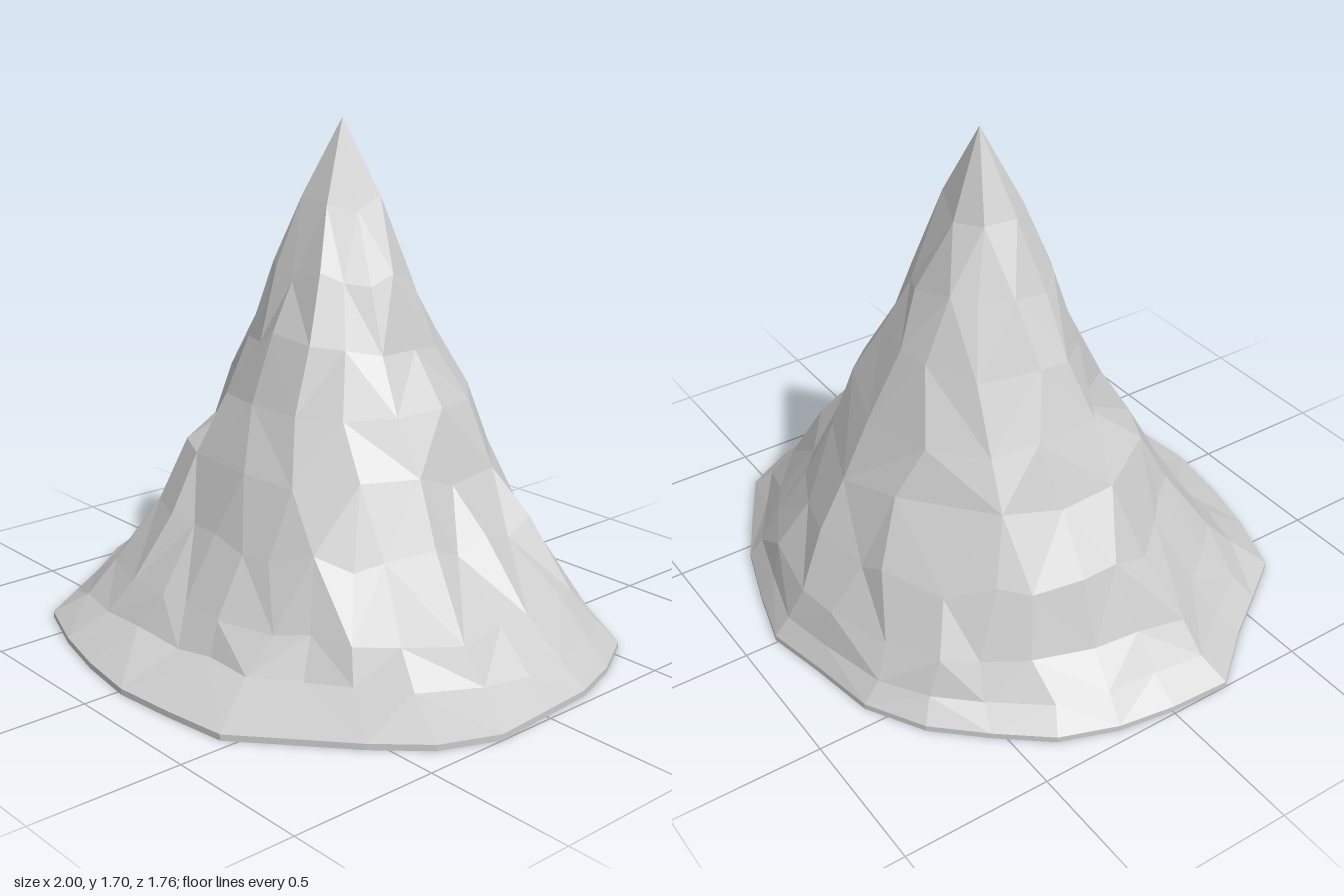
import * as THREE from 'three';

// Base outline (x, z), from the back round by +x, the front and -x
const OUTLINE = [
  [0.01, -0.885], [0.22, -0.83], [0.44, -0.76], [0.62, -0.66], [0.81, -0.55], [0.91, -0.37], [0.97, -0.19],
  [0.985, 0], [1, 0.21], [0.92, 0.4], [0.78, 0.55], [0.62, 0.69], [0.46, 0.83], [0.24, 0.86],
  [0.02, 0.88], [-0.2, 0.85], [-0.41, 0.8], [-0.63, 0.72], [-0.74, 0.56], [-0.84, 0.41], [-1, 0.21],
  [-0.99, 0], [-0.96, -0.19], [-0.89, -0.38], [-0.76, -0.54], [-0.62, -0.69], [-0.43, -0.8], [-0.2, -0.84],
];
const COUNT = OUTLINE.length;
const PEAK = new THREE.Vector3(-0.07, 1.7, -0.11);

// Outline positions at which the slope profile is given
const STATIONS = [0, 7, 11, 14, 17.5, 21, 28];
// Each level: height, number of points, spread (1 = outline, 0 = peak axis) at each station
const LEVELS = [
  [0.09, 28, [0.955, 0.91, 0.77, 0.77, 0.91, 0.9, 0.955]],
  [0.2, 28, [0.89, 0.795, 0.71, 0.71, 0.81, 0.817, 0.89]],
  [0.4, 28, [0.77, 0.6, 0.6, 0.585, 0.65, 0.69, 0.77]],
  [0.6, 14, [0.645, 0.5, 0.51, 0.49, 0.55, 0.57, 0.645]],
  [0.8, 14, [0.53, 0.405, 0.41, 0.4, 0.42, 0.465, 0.53]],
  [1.0, 14, [0.41, 0.295, 0.31, 0.31, 0.33, 0.36, 0.41]],
  [1.2, 14, [0.285, 0.225, 0.225, 0.225, 0.24, 0.255, 0.285]],
  [1.43, 7, [0.15, 0.128, 0.125, 0.125, 0.135, 0.147, 0.15]],
];

let seed = 11;
function jitter(amount) {
  seed = (seed * 16807) % 2147483647;
  return (seed / 2147483647 * 2 - 1) * amount;
}

function spreadAt(values, t) {
  let k = 0;
  while (k < STATIONS.length - 2 && t > STATIONS[k + 1]) k++;
  return THREE.MathUtils.mapLinear(t, STATIONS[k], STATIONS[k + 1], values[k], values[k + 1]);
}

function slopePoint(t, spread, y) {
  t = (t + COUNT) % COUNT;
  const i = Math.floor(t), a = OUTLINE[i], b = OUTLINE[(i + 1) % COUNT];
  const x = THREE.MathUtils.lerp(a[0], b[0], t - i);
  const z = THREE.MathUtils.lerp(a[1], b[1], t - i);
  return new THREE.Vector3(
    THREE.MathUtils.lerp(PEAK.x, x, spread), y, THREE.MathUtils.lerp(PEAK.z, z, spread));
}

function facetedMesh(name, triangles) {
  const geometry = new THREE.BufferGeometry().setFromPoints(triangles);
  geometry.computeVertexNormals();
  const mesh = new THREE.Mesh(geometry,
    new THREE.MeshStandardMaterial({ color: 0xcccccc, flatShading: true }));
  mesh.name = name;
  return mesh;
}

// Join two rings; the upper one has as many points or half as many
function joinRings(out, low, high) {
  const n = high.length;
  for (let i = 0; i < n; i++) {
    const c = high[i], d = high[(i + 1) % n];
    if (low.length === n) {
      const a = low[i], b = low[(i + 1) % n];
      if (i % 2) out.push(b, a, c, b, c, d);
      else out.push(b, a, d, a, c, d);
    } else {
      const a = low[2 * i], m = low[2 * i + 1], b = low[(2 * i + 2) % low.length];
      out.push(m, a, c, m, c, d, b, m, d);
    }
  }
}

export function createModel() {
  const group = new THREE.Group();
  group.name = 'mountain';

  const floor = OUTLINE.map(([x, z]) => new THREE.Vector3(x, 0, z));
  const rim = OUTLINE.map(([x, z]) => new THREE.Vector3(x, 0.02, z));

  // Thin base plate with its underside
  const plate = [];
  joinRings(plate, floor, rim);
  const centre = new THREE.Vector3();
  floor.forEach((p, i) => plate.push(centre, p, floor[(i + 1) % COUNT]));
  group.add(facetedMesh('basePlate', plate));

  // Rocky slopes rising in uneven rings to the peak
  const slopes = [];
  let below = rim;
  LEVELS.forEach(([y, n, values], level) => {
    const ring = [];
    for (let i = 0; i < n; i++) {
      const t = i * COUNT / n;
      let spread = spreadAt(values, t) * (1 + jitter(level ? 0.03 : 0.012));
      let height = y + jitter(level > 1 ? 0.03 : 0.01);
      // Small ledge and hollow on the front of the -x side
      if (t === 18 && y === 0.6) { spread = 0.55; height = 0.61; }
      if (t === 18 && y === 0.8) { spread = 0.34; height = 0.74; }
      ring.push(slopePoint(t + jitter(level ? 0.25 * COUNT / n : 0.15), spread, height));
    }
    joinRings(slopes, below, ring);
    below = ring;
  });
  below.forEach((p, i) => slopes.push(below[(i + 1) % below.length], p, PEAK));
  group.add(facetedMesh('rockSlopes', slopes));

  return group;
}
